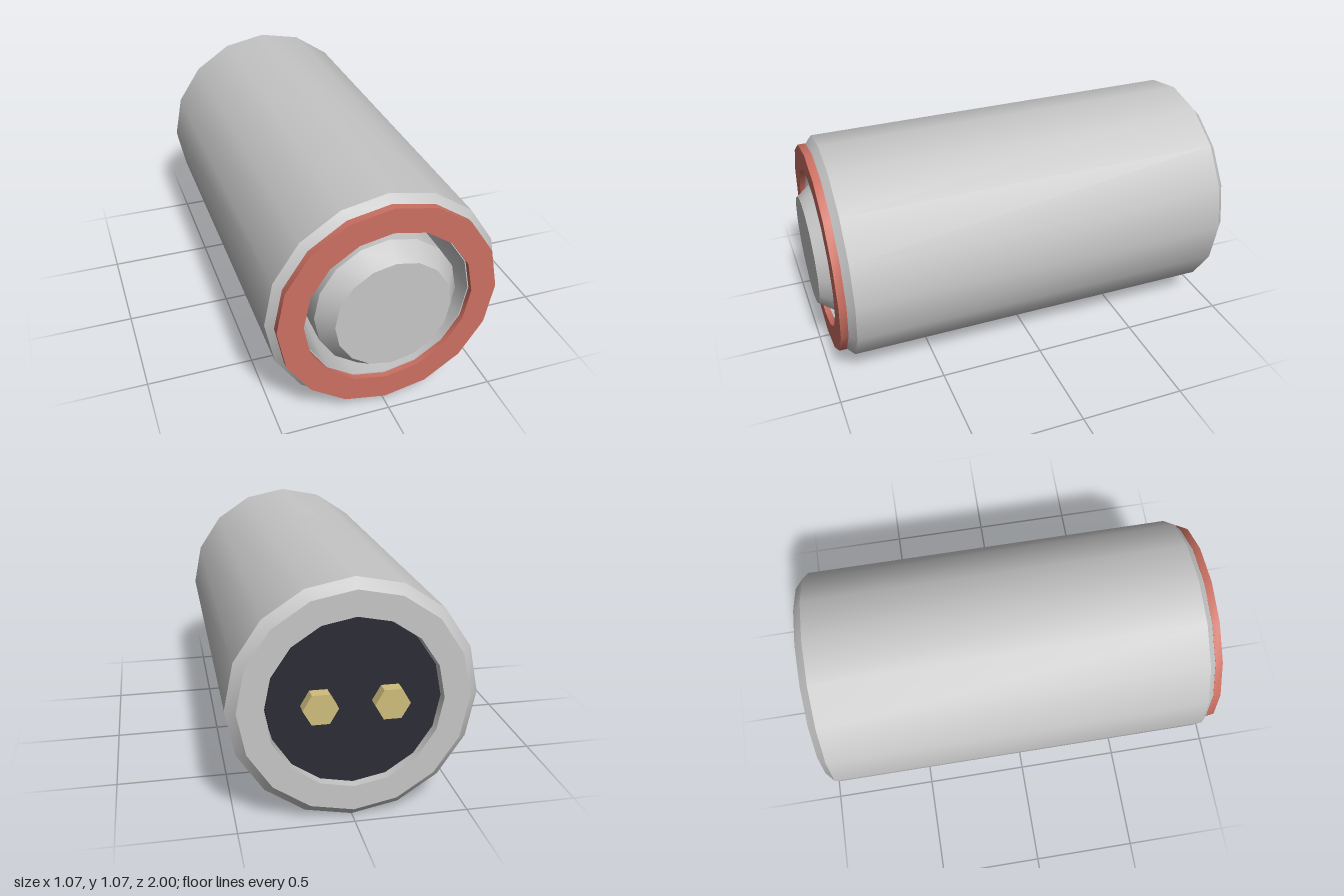
import * as THREE from 'three';
import { toCreasedNormals } from 'three/addons/utils/BufferGeometryUtils.js';

const CENTER_Y = 0.533;

const mat = (name, color) => {
  const m = new THREE.MeshStandardMaterial({ color });
  m.name = name;
  return m;
};

// Turned part along z: profile of [radius, z], running from back to front on the outside
function turned(name, profile, material, sides = 16, start = 0) {
  const points = profile.map(([r, z]) => new THREE.Vector2(r, z));
  const lathe = new THREE.LatheGeometry(points, sides, start);
  lathe.rotateX(Math.PI / 2);
  const mesh = new THREE.Mesh(toCreasedNormals(lathe, Math.PI / 6), material);
  mesh.name = name;
  mesh.position.y = CENTER_Y;
  return mesh;
}

export function createModel() {
  const steel = mat('steel grey', 0xc6c6c6);
  const red = mat('soft red', 0xcc7062);
  const dark = mat('dark insulator', 0x2c2c35);
  const brass = mat('brass', 0xd0bc7c);

  const group = new THREE.Group();
  group.name = 'cell';

  // Hollow casing with chamfered rims
  group.add(turned('casing', [
    [0.378, -0.975], [0.49, -0.975], [0.533, -0.935],
    [0.533, 0.89], [0.49, 0.93], [0.378, 0.93], [0.378, -0.975],
  ], steel));

  // Coloured collar on the front rim
  group.add(turned('frontCollar', [
    [0.383, 0.922], [0.5, 0.922], [0.5, 0.957], [0.383, 0.957], [0.383, 0.922],
  ], red));

  // Raised front terminal with a tapered nose
  group.add(turned('frontTerminal', [
    [0, -0.85], [0.325, -0.85], [0.325, 0.915], [0.262, 1], [0, 1],
  ], steel));

  // Insulating plate recessed in the back
  group.add(turned('backPlate', [
    [0, -0.945], [0.37, -0.945], [0.37, -0.85], [0, -0.85],
  ], dark));

  // Two hexagonal contacts on the back plate
  for (const side of [-1, 1]) {
    const contact = turned(side > 0 ? 'leftContact' : 'rightContact', [
      [0, -1], [0.075, -1], [0.075, -0.94], [0, -0.94],
    ], brass, 6, Math.PI / 2);
    contact.position.x = side * 0.15;
    group.add(contact);
  }

  return group;
}
